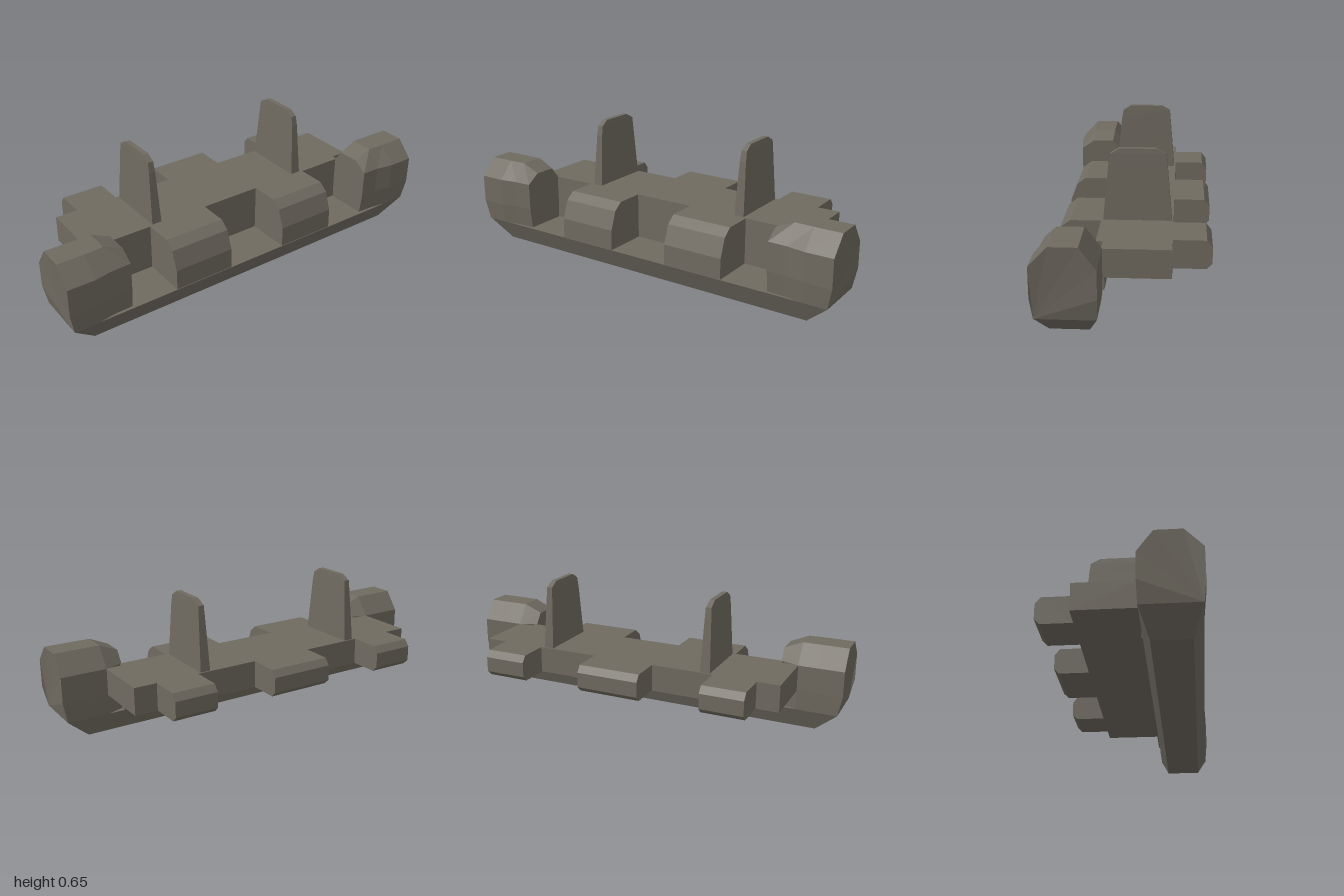
import * as THREE from 'three';

const material = new THREE.MeshStandardMaterial({ color: 0x6f6a60, flatShading: true });

// Closed loft through rings of equal point count; rings are convex lists of [x, y, z].
function loft(rings) {
  const tris = [];
  const n = rings[0].length;
  for (let r = 0; r < rings.length - 1; r++) {
    for (let i = 0; i < n; i++) {
      const j = (i + 1) % n;
      const a = rings[r][i], b = rings[r][j], c = rings[r + 1][j], d = rings[r + 1][i];
      tris.push([a, b, c], [a, c, d]);
    }
  }
  const first = rings[0], last = rings[rings.length - 1];
  for (let i = 1; i < n - 1; i++) {
    tris.push([first[0], first[i + 1], first[i]], [last[0], last[i], last[i + 1]]);
  }
  // Signed volume decides the winding so that faces always point outward.
  let volume = 0;
  for (const t of tris) {
    const [a, b, c] = t.map((p) => new THREE.Vector3(...p));
    volume += a.dot(b.cross(c));
  }
  if (volume < 0) tris.forEach((t) => t.reverse());
  const geometry = new THREE.BufferGeometry();
  geometry.setAttribute('position', new THREE.Float32BufferAttribute(tris.flat(2), 3));
  geometry.computeVertexNormals();
  return geometry;
}

// Prism along x from a [z, y] profile.
const prism = (profile, x0, x1) =>
  loft([x0, x1].map((x) => profile.map(([z, y]) => [x, y, z])));

export function createModel() {
  const group = new THREE.Group();
  const add = (name, geometry) => {
    const mesh = new THREE.Mesh(geometry, material);
    mesh.name = name;
    group.add(mesh);
  };
  const box = (name, x0, x1, y0, y1, z0, z1) =>
    add(name, prism([[z0, y0], [z1, y0], [z1, y1], [z0, y1]], x0, x1));

  // Tapered lower hull of the front bar
  add('lowerBar', loft([[0, 0.87, 0.14, 0.31], [0.1, 0.98, 0.1, 0.353]].map(([y, x, z0, z1]) =>
    [[-x, y, z0], [x, y, z0], [x, y, z1], [-x, y, z1]])));

  // Wall behind the front recesses, and the flat deck
  box('backWall', -0.7, 0.7, 0.1, 0.325, 0.095, 0.13);
  box('deck', -0.78, 0.78, 0.195, 0.325, -0.195, 0.1);

  // Bevelled tabs on the rear edge
  const tab = [[-0.195, 0.195], [-0.34, 0.195], [-0.365, 0.22], [-0.365, 0.293], [-0.34, 0.325], [-0.195, 0.325]];
  add('rearTabCentre', prism(tab, -0.155, 0.155));

  const block = [[0.13, 0.1], [0.35, 0.1], [0.348, 0.2], [0.315, 0.29], [0.27, 0.325], [0.13, 0.325]];

  // Fin outline by height: y, front z, back z, half thickness
  const finLevels = [
    [0.32, 0.122, -0.188, 0.025], [0.58, 0.097, -0.165, 0.016],
    [0.63, 0.087, -0.16, 0.014], [0.655, 0.048, -0.115, 0.012],
  ];

  // End housing sections: x of base, x of the rest, then the [z, y] outline
  const outline = (front, back, top, topFront, topBack) => [
    [front - 0.01, 0.1], [front, 0.2], [front, 0.335], [topFront, top],
    [topBack, top], [back, 0.325], [back, 0.2], [back + 0.004, 0.1],
  ];
  const endSections = [
    [0.69, 0.69, outline(0.347, 0.13, 0.38, 0.28, 0.17)],
    [0.78, 0.78, outline(0.35, 0.095, 0.42, 0.28, 0.165)],
    [0.87, 0.87, outline(0.365, 0.095, 0.42, 0.285, 0.165)],
    [0.98, 1, outline(0.365, 0.095, 0.42, 0.285, 0.165)],
  ];

  for (const [side, s] of [['left', 1], ['right', -1]]) {
    add(side + 'RearTab', prism(tab, s * 0.46, s * 0.67));
    add(side + 'FrontBlock', prism(block, s * 0.155, s * 0.46));
    add(side + 'Fin', loft(finLevels.map(([y, z0, z1, w]) => {
      const x = s * 0.419;
      return [[x - w, y, z0], [x + w, y, z0], [x + w, y, z1], [x - w, y, z1]];
    })));
    add(side + 'EndHousing', loft(endSections.map(([xBase, x, points]) =>
      points.map(([z, y]) => [s * (y < 0.15 ? xBase : x), y, z]))));
  }
  return group;
}
